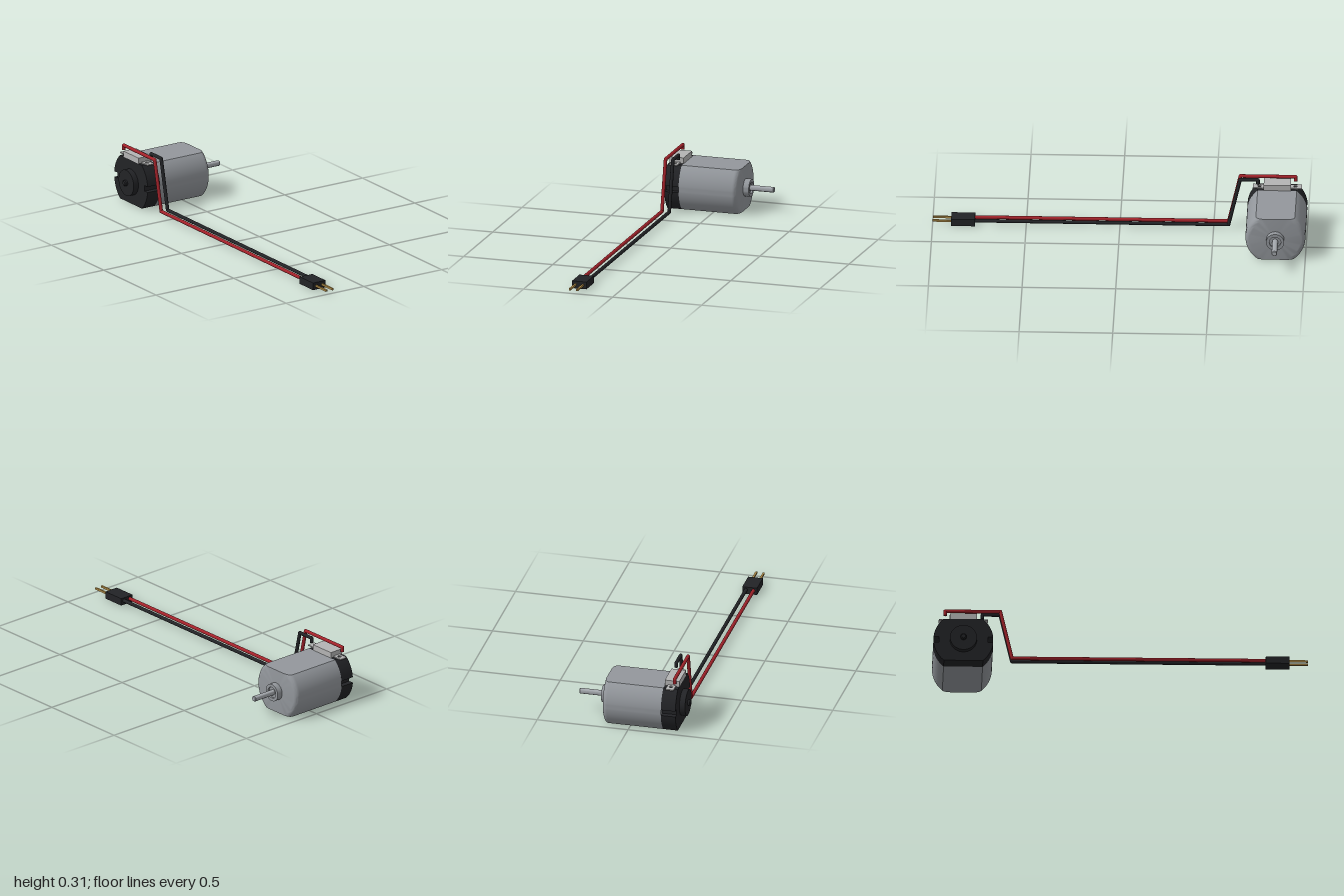
import * as THREE from 'three';
import { toCreasedNormals } from 'three/addons/utils/BufferGeometryUtils.js';

const AXIS_Y = 0.1215, AXIS_Z = -0.84, R = 0.16, FLAT = 0.1215;

const mat = (color) => new THREE.MeshStandardMaterial({ color });
const steel = mat(0x93979c), silver = mat(0xa4a8ad), plate = mat(0xb4b4b4);
const black = mat(0x222326), red = mat(0xa3222a), brass = mat(0xb8924a);

function add(parent, name, geometry, material, x = 0, y = 0, z = 0) {
  const mesh = new THREE.Mesh(geometry, material);
  mesh.name = name;
  mesh.position.set(x, y, z);
  parent.add(mesh);
  return mesh;
}

// Turned part along the x axis from [radius, x] points
function turned(points, segments = 40) {
  const profile = points.map(([r, x]) => new THREE.Vector2(r, x));
  const g = new THREE.LatheGeometry(profile, segments);
  g.rotateZ(-Math.PI / 2);
  return toCreasedNormals(g, 0.6);
}

// Round can with flat top and bottom, lofted through [x, radius] stations
function canGeometry(stations, n = 28) {
  const pos = [], idx = [], count = 2 * (n + 1);
  for (const [x, r] of stations) {
    const a = Math.asin(Math.min(1, FLAT / r));
    for (const side of [0, Math.PI]) {
      for (let i = 0; i <= n; i++) {
        const t = side - a + (2 * a * i) / n;
        pos.push(x, r * Math.sin(t), r * Math.cos(t));
      }
    }
  }
  const last = stations.length - 1;
  for (let s = 0; s < last; s++) {
    for (let i = 0; i < count; i++) {
      const j = (i + 1) % count, p = s * count, q = p + count;
      idx.push(p + i, q + i, q + j, p + i, q + j, p + j);
    }
  }
  const c0 = pos.length / 3;
  pos.push(stations[0][0], 0, 0, stations[last][0], 0, 0);
  for (let i = 0; i < count; i++) {
    const j = (i + 1) % count, q = last * count;
    idx.push(c0, i, j, c0 + 1, q + j, q + i);
  }
  const g = new THREE.BufferGeometry();
  g.setAttribute('position', new THREE.Float32BufferAttribute(pos, 3));
  g.setIndex(idx);
  // Wind every face outward
  const p = g.attributes.position, [A, B, C] = [0, 1, 2].map(() => new THREE.Vector3());
  for (let k = 0; k < idx.length; k += 3) {
    A.fromBufferAttribute(p, idx[k]);
    B.fromBufferAttribute(p, idx[k + 1]);
    C.fromBufferAttribute(p, idx[k + 2]);
    const normal = B.clone().sub(A).cross(C.clone().sub(A));
    if (normal.dot(A.add(B).add(C)) < 0) [idx[k + 1], idx[k + 2]] = [idx[k + 2], idx[k + 1]];
  }
  g.setIndex(idx);
  return toCreasedNormals(g, 0.5);
}

// Same outline as the can, with a slot in each side
function endCapGeometry(length) {
  const a = Math.asin(FLAT / R), slot = 0.016, depth = 0.03, n = 14;
  const b = Math.asin(slot / R), shape = [];
  for (const side of [0, Math.PI]) {
    const s = side === 0 ? 1 : -1;
    const arc = (from, to) => {
      for (let i = 0; i <= n; i++) {
        const t = side + from + ((to - from) * i) / n;
        shape.push(new THREE.Vector2(R * Math.cos(t), R * Math.sin(t)));
      }
    };
    arc(-a, -b);
    shape.push(new THREE.Vector2(s * (R - depth), -s * slot));
    shape.push(new THREE.Vector2(s * (R - depth), s * slot));
    arc(b, a);
  }
  const g = new THREE.ExtrudeGeometry(new THREE.Shape(shape), { depth: length, bevelEnabled: false });
  g.rotateY(Math.PI / 2);
  return toCreasedNormals(g, 0.5);
}

// Solder tag with a hole, lying flat
function tagGeometry() {
  const s = new THREE.Shape();
  s.moveTo(-0.022, -0.035).lineTo(0.022, -0.035).lineTo(0.022, 0.035).lineTo(-0.022, 0.035);
  s.holes.push(new THREE.Path().absarc(0, 0, 0.01, 0, Math.PI * 2, true));
  const g = new THREE.ExtrudeGeometry(s, { depth: 0.006, bevelEnabled: false, curveSegments: 16 });
  return g.rotateX(-Math.PI / 2);
}

// Wire of straight runs with rounded joints
function wire(name, material, x, startZ) {
  const group = new THREE.Group(), r = 0.0095;
  group.name = name;
  const pts = [[0.272, startZ], [0.297, startZ], [0.297, -0.642], [0.024, -0.58], [0.024, 0.79]]
    .map(([y, z]) => new THREE.Vector3(x, y, z));
  for (let i = 0; i < pts.length - 1; i++) {
    const dir = pts[i + 1].clone().sub(pts[i]);
    const run = add(group, 'wireRun', new THREE.CylinderGeometry(r, r, dir.length(), 16), material);
    run.position.copy(pts[i]).addScaledVector(dir, 0.5);
    run.quaternion.setFromUnitVectors(new THREE.Vector3(0, 1, 0), dir.normalize());
    if (i > 0) add(group, 'wireBend', new THREE.SphereGeometry(r, 16, 12), material, ...pts[i].toArray());
  }
  return group;
}

export function createModel() {
  const model = new THREE.Group();
  model.name = 'motorWithLeads';

  // Motor, built around its own axis
  const motor = new THREE.Group();
  motor.name = 'motor';
  motor.position.set(0, AXIS_Y, AXIS_Z);
  model.add(motor);

  const stations = [[-0.18, R]], fillet = 0.027;
  for (let i = 0; i <= 6; i++) {
    const t = (i / 6) * Math.PI / 2;
    stations.push([0.145 - fillet + fillet * Math.sin(t), R - fillet + fillet * Math.cos(t)]);
  }
  add(motor, 'can', canGeometry(stations), steel);
  add(motor, 'endCap', endCapGeometry(0.08), black, -0.26);
  add(motor, 'frontBearing', turned([[0.048, 0.14], [0.048, 0.177], [0.031, 0.177], [0.031, 0.167], [0, 0.167]]), steel);
  add(motor, 'shaft', turned([[0.015, 0.14], [0.015, 0.302], [0.012, 0.306], [0, 0.306]], 24), silver);
  add(motor, 'rearBoss', turned([[0, -0.291], [0.072, -0.291], [0.072, -0.255]]), black);
  add(motor, 'rearShaftEnd', turned([[0, -0.307], [0.011, -0.307], [0.016, -0.302], [0.016, -0.285]], 24), black);

  // Terminal block and solder tags on top
  add(model, 'terminalBlock', new THREE.BoxGeometry(0.08, 0.034, 0.145), plate, -0.22, 0.258, AXIS_Z);
  for (const s of [-1, 1]) {
    add(model, 'solderTag', tagGeometry(), plate, -0.22, 0.244, AXIS_Z + s * 0.096);
  }

  // Leads
  model.add(wire('redWire', red, -0.24, -0.937));
  model.add(wire('blackWire', black, -0.199, -0.737));

  // Plug with two pins
  add(model, 'plug', new THREE.BoxGeometry(0.081, 0.04, 0.127), black, -0.2195, 0.0205, 0.837);
  for (const x of [-0.24, -0.199]) {
    add(model, 'pin', new THREE.BoxGeometry(0.01, 0.01, 0.12), brass, x, 0.0215, 0.94);
  }
  return model;
}
